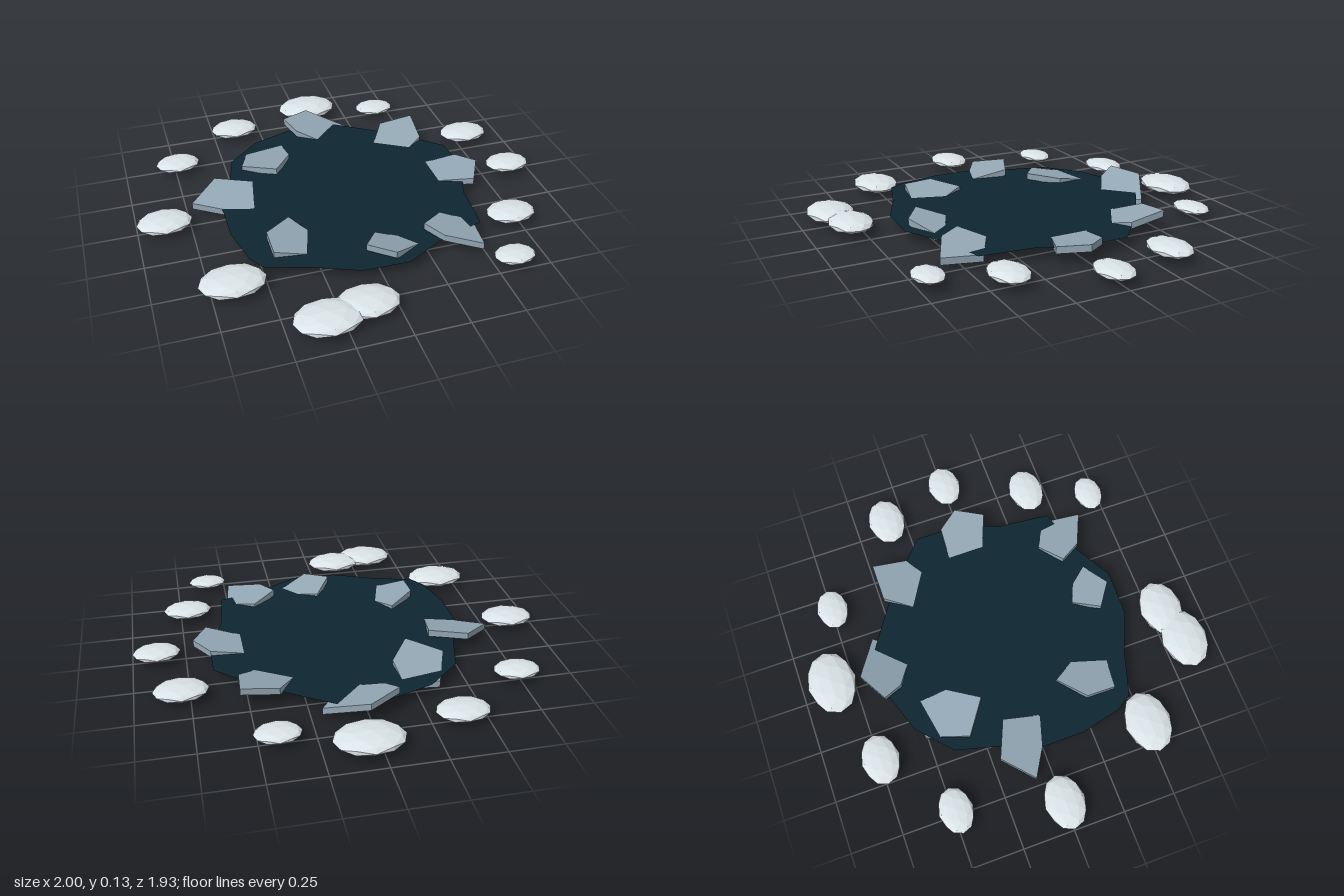
import * as THREE from 'three';

const snow = new THREE.MeshStandardMaterial({ color: 0xdde6ea, flatShading: true });
snow.name = 'snow';
const ice = new THREE.MeshStandardMaterial({ color: 0x93a7b4, flatShading: true });
ice.name = 'ice';
const water = new THREE.MeshStandardMaterial({ color: 0x0e2530, side: THREE.DoubleSide });
water.name = 'darkWater';

const WATER_Y = 0.065;
const SLAB_THICKNESS = 0.033;

// Horizontal outline given as [x, z] points
function outline(points) {
  return new THREE.Shape(points.map(([x, z]) => new THREE.Vector2(x, -z)));
}

// Tilted ice plate: its top meets the water at (x0, z0) and climbs by slopes sx, sz
function iceSlab([x0, z0], [sx, sz], points) {
  const geo = new THREE.ExtrudeGeometry(outline(points), { depth: SLAB_THICKNESS, bevelEnabled: false });
  geo.rotateX(-Math.PI / 2);
  const p = geo.attributes.position;
  for (let i = 0; i < p.count; i++) {
    const rise = sx * (p.getX(i) - x0) + sz * (p.getZ(i) - z0);
    p.setY(i, p.getY(i) + WATER_Y - SLAB_THICKNESS + rise);
  }
  geo.computeVertexNormals();
  return new THREE.Mesh(geo, ice);
}

// Flattened snow lump
function snowMound(x, z, r) {
  const mesh = new THREE.Mesh(new THREE.IcosahedronGeometry(1, 1), snow);
  mesh.scale.set(r, r * 0.235, r * 0.745);
  mesh.position.set(x, 0.055, z);
  return mesh;
}

export function createModel() {
  const model = new THREE.Group();
  model.name = 'iceHole';
  const add = (mesh, name) => { mesh.name = name; model.add(mesh); };

  // Open water
  const pool = new THREE.ShapeGeometry(outline([
    [0.635, 0], [0.56, 0.2], [0.535, 0.45], [0.3, 0.525], [0.12, 0.625],
    [-0.1, 0.62], [-0.3, 0.535], [-0.5, 0.475], [-0.55, 0.4], [-0.595, 0.2],
    [-0.595, 0], [-0.52, -0.21], [-0.47, -0.4], [-0.31, -0.545], [-0.12, -0.61],
    [0.13, -0.61], [0.35, -0.465], [0.54, -0.31], [0.635, -0.225],
  ]));
  pool.rotateX(-Math.PI / 2);
  pool.translate(0, WATER_Y, 0);
  add(new THREE.Mesh(pool, water), 'waterSurface');

  // Broken ice plates around the rim: waterline point, slopes, outline
  const slabs = [
    [[0.064, -0.535], [-0.23, -0.23], [[0.01, -0.71], [-0.135, -0.63], [-0.09, -0.54], [0.08, -0.435], [0.2, -0.6]]],
    [[0.37, -0.31], [0.12, -0.2], [[0.365, -0.485], [0.265, -0.325], [0.39, -0.22], [0.53, -0.315], [0.54, -0.485]]],
    [[0.48, 0], [0.15, 0], [[0.635, -0.095], [0.42, -0.108], [0.42, 0.05], [0.64, 0.14], [0.71, 0.005]]],
    [[0.468, 0.42], [-0.19, 0.03], [[0.375, 0.34], [0.26, 0.43], [0.32, 0.53], [0.485, 0.605], [0.51, 0.415]]],
    [[0.17, 0.48], [-0.2, 0.17], [[0.035, 0.39], [-0.045, 0.51], [0.07, 0.59], [0.205, 0.515], [0.2, 0.465]]],
    [[-0.275, 0.355], [-0.2, -0.06], [[-0.315, 0.17], [-0.445, 0.28], [-0.445, 0.42], [-0.22, 0.45], [-0.22, 0.32]]],
    [[-0.5, 0.02], [0.06, -0.2], [[-0.59, -0.215], [-0.725, -0.085], [-0.5, 0.05], [-0.445, 0.03], [-0.415, -0.14]]],
    [[-0.285, -0.46], [0.03, 0.17], [[-0.36, -0.51], [-0.435, -0.31], [-0.28, -0.2], [-0.18, -0.345], [-0.19, -0.5]]],
  ];
  slabs.forEach(([at, slope, points], i) => add(iceSlab(at, slope, points), `iceSlab${i + 1}`));

  // Ring of snow lumps: x, z, radius
  const mounds = [
    [0.05, -0.85, 0.158], [-0.39, -0.74, 0.123], [0.415, -0.74, 0.104], [-0.735, -0.485, 0.11],
    [0.79, -0.34, 0.126], [-0.87, 0, 0.13], [0.885, 0.005, 0.112], [-0.65, 0.51, 0.15],
    [0.715, 0.4, 0.12], [-0.32, 0.845, 0.152], [-0.135, 0.8, 0.142], [0.59, 0.7, 0.096],
  ];
  mounds.forEach(([x, z, r], i) => add(snowMound(x, z, r), `snowMound${i + 1}`));

  return model;
}
